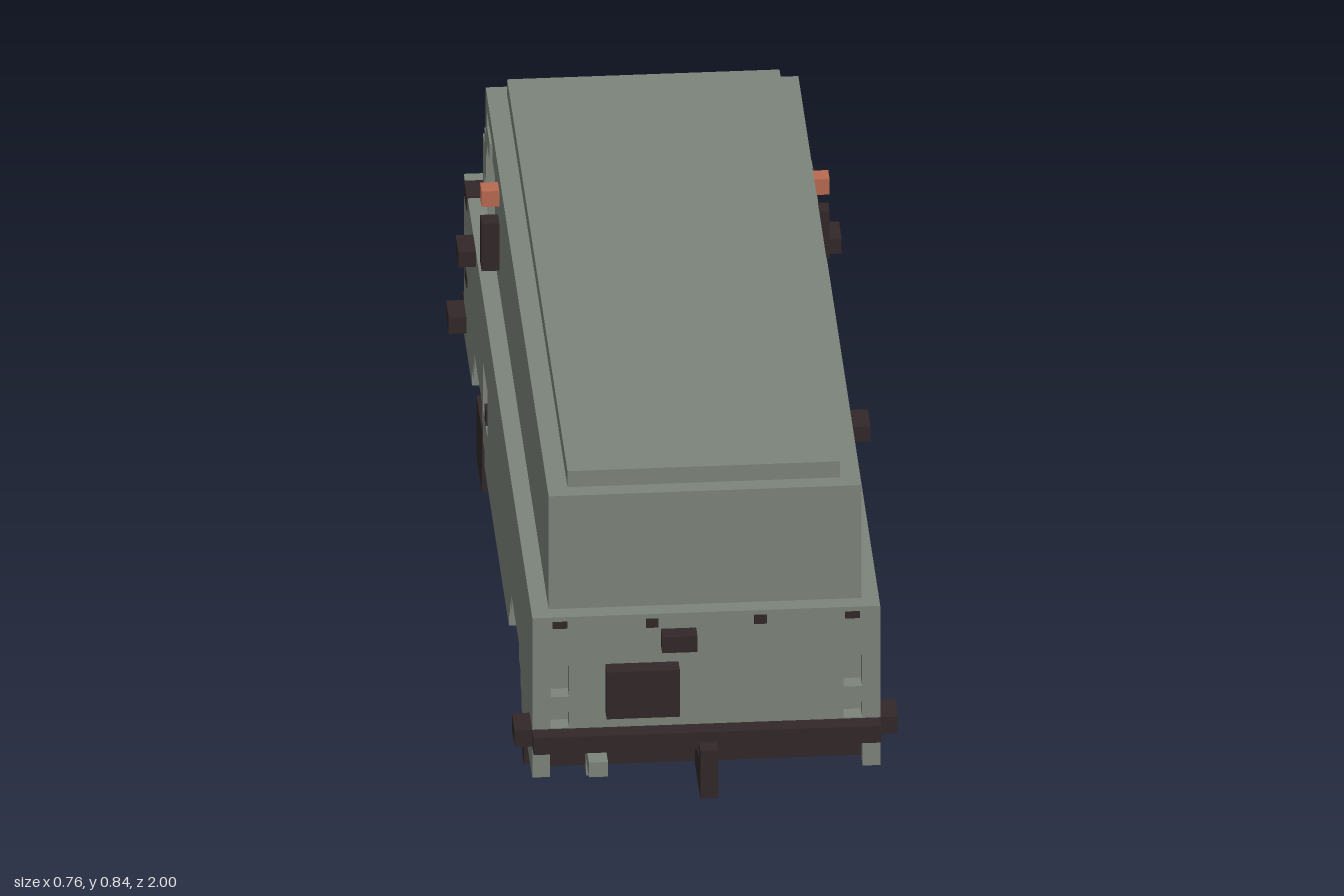
import * as THREE from 'three';

export function createModel() {
  const van = new THREE.Group();
  van.name = 'blockVan';
  const paint = new THREE.MeshStandardMaterial({ name: 'greyGreenPaint', color: 0x7d847b });
  const dark = new THREE.MeshStandardMaterial({ name: 'darkTrim', color: 0x322829 });
  const orange = new THREE.MeshStandardMaterial({ name: 'orangeLamp', color: 0xb86a52 });

  const add = (name, geo, mat) => {
    const m = new THREE.Mesh(geo, mat);
    m.name = name;
    van.add(m);
    return m;
  };
  // Box from its limits on each axis
  const box = (name, mat, x0, x1, y0, y1, z0, z1) =>
    add(name, new THREE.BoxGeometry(x1 - x0, y1 - y0, z1 - z0), mat)
      .position.set((x0 + x1) / 2, (y0 + y1) / 2, (z0 + z1) / 2);
  // The same box on both sides
  const pair = (name, mat, x0, x1, ...r) => {
    box(name + 'Left', mat, x0, x1, ...r);
    box(name + 'Right', mat, -x1, -x0, ...r);
  };
  const poly = pts => pts.map(p => new THREE.Vector2(...p));
  const rect = (a, b, c, d) => poly([[a, c], [b, c], [b, d], [a, d]]);
  // Flat wall with rectangular openings
  const wall = (pts, holes) => {
    const s = new THREE.Shape(pts);
    for (const h of holes) s.holes.push(new THREE.Path(rect(...h)));
    return new THREE.ExtrudeGeometry(s, { depth: 0.035, bevelEnabled: false });
  };

  // Lower side walls with stepped wheel arches (drawn in z, y)
  const arch = (c, r) => [
    [c - r, 0.185], [c - r, 0.22], [c - r + 0.035, 0.22], [c - r + 0.035, 0.257],
    [c - r + 0.07, 0.257], [c - r + 0.07, 0.293], [c + r - 0.07, 0.293], [c + r - 0.07, 0.257],
    [c + r - 0.035, 0.257], [c + r - 0.035, 0.22], [c + r, 0.22], [c + r, 0.185]];
  const profile = [[-0.925, 0.185], ...arch(-0.545, 0.165), ...arch(0.44, 0.17),
    [0.89, 0.185], [0.89, 0.545], [-0.925, 0.545]];
  for (const [side, x] of [['Left', 0.31], ['Right', -0.345]]) {
    const g = wall(poly(profile.map(([z, y]) => [-z, y])), [[0.305, 0.42, 0.295, 0.4]]);
    g.rotateY(Math.PI / 2);
    g.translate(x, 0, 0);
    add('lowerSide' + side, g, paint);
  }

  // End walls with lamp recesses and the grille opening
  add('rearWall', wall(rect(-0.31, 0.31, 0.255, 0.545), [
    [-0.309, -0.272, 0.365, 0.435], [0.272, 0.309, 0.365, 0.435],
    [-0.309, -0.272, 0.295, 0.33], [0.272, 0.309, 0.295, 0.33]]), paint).position.z = 0.855;
  add('cabWall', wall(rect(-0.31, 0.31, 0.24, 0.545), [
    [-0.16, 0.13, 0.295, 0.405], [0.205, 0.275, 0.36, 0.435],
    [0.225, 0.265, 0.295, 0.33], [-0.265, -0.225, 0.295, 0.33]]), paint).position.z = -0.925;

  // Inner body, and underside left open at the wheel arches
  box('innerBody', paint, -0.31, 0.31, 0.293, 0.45, -0.86, 0.855);
  box('underbody', dark, -0.2, 0.2, 0.19, 0.293, -0.86, 0.855);
  for (const [z0, z1] of [[-0.86, -0.71], [-0.38, 0.27], [0.61, 0.855]])
    pair('underbodySide', dark, 0.2, 0.31, 0.19, 0.293, z0, z1);
  pair('archCeiling', dark, 0.2, 0.31, 0.288, 0.293, -0.71, -0.38);
  pair('rearArchCeiling', dark, 0.2, 0.31, 0.288, 0.293, 0.27, 0.61);
  box('grillePanel', dark, -0.16, -0.04, 0.295, 0.385, -0.91, -0.86);
  box('grilleBar', dark, -0.04, 0.07, 0.32, 0.335, -0.88, -0.86);

  // Upper body, roof and cab
  box('upperBody', paint, -0.31, 0.31, 0.45, 0.8, -0.565, 0.855);
  box('bulkhead', dark, -0.309, 0, 0.455, 0.735, -0.568, -0.565);
  box('cabRoof', paint, -0.31, 0.31, 0.765, 0.8, -0.815, -0.565);
  box('roofPanel', paint, -0.27, 0.27, 0.8, 0.836, -0.78, 0.82);
  box('dashboard', paint, -0.31, 0.31, 0.51, 0.544, -0.89, -0.8);
  pair('windowCorner', paint, 0.275, 0.31, 0.735, 0.765, -0.63, -0.565);
  pair('windowTab', paint, 0.275, 0.31, 0.69, 0.73, -0.78, -0.71);
  // Stepped windscreen pillars
  for (const [y0, y1, z0] of [[0.66, 0.765, -0.815], [0.59, 0.69, -0.85], [0.545, 0.655, -0.888]])
    pair('pillar', paint, 0.272, 0.31, y0, y1, z0, z0 + 0.036);
  box('windscreenHeader', paint, -0.272, 0.272, 0.69, 0.765, -0.815, -0.78);
  box('windscreenUpper', paint, -0.272, 0.13, 0.62, 0.69, -0.848, -0.815);
  box('windscreenLower', paint, -0.272, -0.03, 0.545, 0.62, -0.886, -0.85);
  box('wiper', dark, 0.06, 0.23, 0.545, 0.575, -0.928, -0.89);

  // Side details
  pair('marker', orange, 0.31, 0.345, 0.73, 0.765, -0.492, -0.455);
  pair('airVent', dark, 0.31, 0.345, 0.585, 0.692, -0.492, -0.455);
  pair('doorHandle', dark, 0.345, 0.38, 0.512, 0.546, -0.675, -0.605);
  pair('mirrorFoot', dark, 0.309, 0.347, 0.515, 0.549, -0.89, -0.825);
  box('slidingDoorHandle', dark, 0.345, 0.38, 0.512, 0.546, 0.092, 0.162);
  pair('fillerCap', dark, 0.31, 0.345, 0.296, 0.33, -0.375, -0.345);
  pair('sideLamp', dark, 0.345, 0.347, 0.338, 0.362, -0.88, -0.83);

  // Cab end: bumper and headlamp
  box('cabBumper', dark, -0.345, 0.345, 0.22, 0.257, -0.965, -0.925);
  box('cabBumperCentre', dark, -0.125, 0.125, 0.22, 0.293, -1, -0.965);
  pair('cabBumperEnd', dark, 0.345, 0.38, 0.22, 0.257, -0.93, -0.86);
  box('headlamp', paint, -0.275, -0.205, 0.365, 0.435, -0.96, -0.925);

  // Rear end: bumper, hitch, plate and handle
  box('rearBumper', dark, -0.345, 0.345, 0.255, 0.293, 0.89, 0.925);
  pair('rearBumperEnd', dark, 0.345, 0.38, 0.255, 0.293, 0.82, 0.89);
  box('hitchArm', dark, -0.02, 0.016, 0.185, 0.255, 0.855, 1);
  box('hitchPost', dark, -0.02, 0.016, 0.255, 0.293, 0.965, 1);
  box('exhaust', paint, -0.238, -0.2, 0.22, 0.253, 0.856, 0.96);
  box('exhaustBracket', paint, -0.238, -0.2, 0.185, 0.22, 0.8, 0.89);
  box('rearPlate', dark, -0.2, -0.055, 0.33, 0.436, 0.89, 0.925);
  box('tailgateHandle', dark, -0.09, -0.02, 0.475, 0.511, 0.89, 0.925);
  pair('tailgateHinge', dark, 0.095, 0.12, 0.515, 0.535, 0.89, 0.892);
  pair('tailLampTrim', dark, 0.275, 0.305, 0.52, 0.535, 0.89, 0.892);

  // Sills and chassis rails around the dark floor
  for (const [z0, z1] of [[-0.345, 0.24], [0.635, 0.78]])
    box('sillLeft', paint, 0.27, 0.31, 0.15, 0.19, z0, z1);
  box('sillRight', paint, -0.24, -0.2, 0.15, 0.19, -0.36, 0.78);
  box('floorCrossPiece', paint, -0.2, -0.13, 0.15, 0.19, 0.6, 0.78);
  box('floorPan', dark, -0.2, 0.27, 0.152, 0.19, -0.6, 0.6);
  box('floorPanRear', dark, -0.13, 0.27, 0.152, 0.19, 0.6, 0.635);
  box('railRight', paint, -0.165, -0.13, 0.112, 0.152, -0.6, 0.6);
  box('railCrossPiece', paint, -0.165, -0.055, 0.112, 0.152, 0.6, 0.635);
  box('railLeft', paint, 0.05, 0.09, 0.112, 0.152, -0.6, 0.635);
  box('axleMount', dark, 0.08, 0.091, 0.113, 0.151, 0.385, 0.49);
  box('driveShaft', dark, -0.13, 0.05, 0.114, 0.152, -0.6, 0.6);
  box('driveShaftEnd', dark, -0.055, 0.05, 0.114, 0.152, 0.6, 0.635);

  // Stepped wheel with a raised hub, and mudflap
  for (const [y0, y1, h] of [[0, 0.04, 0.055], [0.04, 0.075, 0.09], [0.075, 0.215, 0.125],
    [0.215, 0.25, 0.09], [0.25, 0.288, 0.055]])
    box('wheel', dark, -0.31, -0.24, y0, y1, -0.545 - h, -0.545 + h);
  box('wheelHub', dark, -0.343, -0.31, 0.075, 0.215, -0.615, -0.475);
  box('mudflap', dark, -0.343, -0.24, 0.075, 0.185, 0.6, 0.637);

  return van;
}
